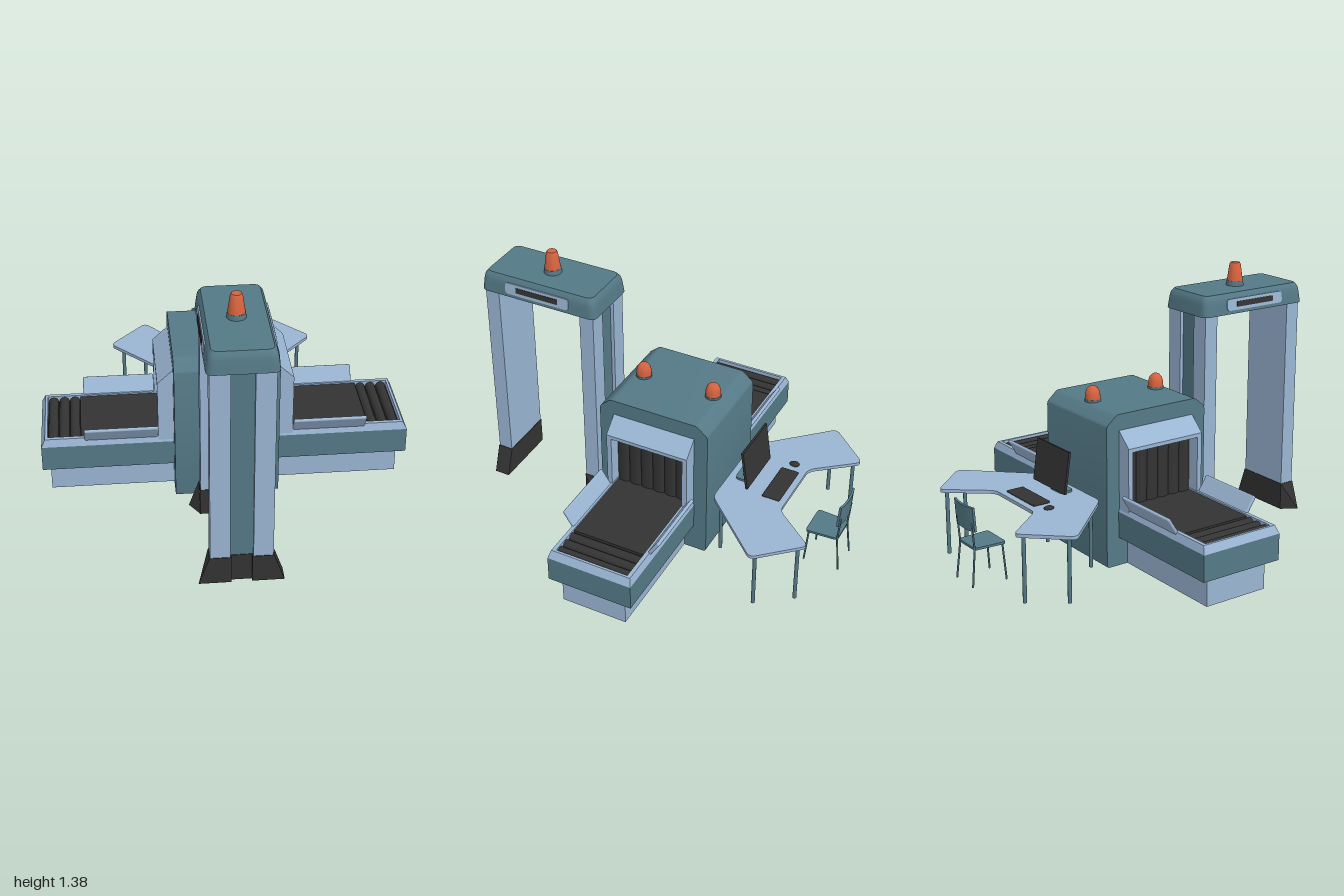
import * as THREE from 'three';
import { toCreasedNormals } from 'three/addons/utils/BufferGeometryUtils.js';
import { RoundedBoxGeometry } from 'three/addons/geometries/RoundedBoxGeometry.js';

const material = (name, color) => Object.assign(new THREE.MeshStandardMaterial({ color }), { name });

// Polygon outline with optionally rounded corners
function outline(points, radius = 0) {
  const shape = new THREE.Shape();
  const p = points.map(([a, b]) => new THREE.Vector2(a, b));
  p.forEach((c, i) => {
    const towards = (q) => c.clone().add(q.clone().sub(c).setLength(radius));
    const a = towards(p[(i + p.length - 1) % p.length]);
    const b = towards(p[(i + 1) % p.length]);
    if (i) shape.lineTo(a.x, a.y); else shape.moveTo(a.x, a.y);
    if (radius) shape.quadraticCurveTo(c.x, c.y, b.x, b.y);
  });
  shape.closePath();
  return shape;
}
const rect = (a0, a1, b0, b1) => [[a0, b0], [a1, b0], [a1, b1], [a0, b1]];

// Centred extrusion: along x the outline is (z, y), along y it is (x, z), along z it is (x, y)
function prism(shape, depth, axis, steps = 1) {
  const g = new THREE.ExtrudeGeometry(shape, { depth, steps, bevelEnabled: false, curveSegments: 6 });
  g.translate(0, 0, -depth / 2);
  if (axis === 'x') g.rotateY(-Math.PI / 2);
  if (axis === 'y') g.rotateX(Math.PI / 2);
  return g;
}

// Move every vertex by a rule
function reshape(g, rule) {
  const pos = g.attributes.position;
  const v = new THREE.Vector3();
  for (let i = 0; i < pos.count; i++) {
    rule(v.fromBufferAttribute(pos, i));
    pos.setXYZ(i, v.x, v.y, v.z);
  }
  g.computeVertexNormals();
  return g;
}

export function createModel() {
  const light = material('pale blue', 0x9ab5d3);
  const teal = material('slate teal', 0x547986);
  const black = material('charcoal', 0x333333);
  const orange = material('signal orange', 0xd4623f);
  const model = new THREE.Group();
  const group = (name) => {
    const g = new THREE.Group();
    g.name = name;
    model.add(g);
    return g;
  };
  const add = (parent, name, geo, mat, x = 0, y = 0, z = 0) => {
    const m = new THREE.Mesh(geo, mat);
    m.name = name;
    m.position.set(x, y, z);
    parent.add(m);
    return m;
  };
  const box = (w, h, d) => new THREE.BoxGeometry(w, h, d);
  const smooth = (g) => toCreasedNormals(g, 0.6);
  const rod = (parent, name, a, b, r, mat) => add(parent, name,
    new THREE.TubeGeometry(new THREE.LineCurve3(new THREE.Vector3(...a), new THREE.Vector3(...b)), 1, r, 8), mat);
  const sides = [-1, 1];

  // Walk-through gate
  const gate = group('gate');
  const gz = 0.668;
  for (const k of sides) {
    const plan = (w, notch, outer, inner, deep) => outline([
      [-w, inner], [w, inner], [w, outer], [notch, outer], [notch, outer - k * deep],
      [-notch, outer - k * deep], [-notch, outer], [-w, outer]]);
    const out = gz + k * 0.312, inn = gz + k * 0.235;
    add(gate, 'gatePost', prism(plan(0.15, 0.055, out, inn, 0.025), 1.16, 'y'), light, 0, 0.58);
    add(gate, 'gatePostStrip', box(0.11, 1.16, 0.008), teal, 0, 0.58, out - k * 0.022);
    // Feet flare at the outer edge
    const foot = reshape(prism(plan(0.153, 0.05, out + k * 0.003, inn - k * 0.003, 0.018), 0.146, 'y'), (v) => {
      const outerEdge = Math.abs(v.z - out) < 0.02;
      if (v.y < 0 && Math.abs(v.x) > 0.1 && (outerEdge || (k > 0 && v.x > 0))) v.x = Math.sign(v.x) * 0.205;
    });
    add(gate, 'gateFoot', foot, black, 0, 0.073);
  }
  const head = reshape(prism(outline(rect(-0.166, 0.166, -0.33, 0.33), 0.04), 0.105, 'y', 6), (v) => {
    const t = v.y / 0.105 + 0.5;
    const inset = 0.012 * t + 0.014 * t ** 8;
    v.x *= 1 - inset / 0.166;
    v.z *= 1 - inset / 0.33;
  });
  add(gate, 'gateHead', smooth(head), teal, 0, 1.208, gz);
  for (const s of sides) {
    const panel = add(gate, 'gatePanel', prism(outline(rect(-0.183, 0.183, -0.03, 0.03), 0.02), 0.009, 'x'),
      light, s * 0.161, 1.203, gz);
    panel.rotation.z = s * 0.114;
    add(panel, 'gateDisplay', box(0.006, 0.028, 0.24), black, s * 0.004);
  }
  const lathe = (pts, n = 24) => smooth(new THREE.LatheGeometry(pts.map(([r, y]) => new THREE.Vector2(r, y)), n).toNonIndexed());
  add(gate, 'gateBeaconBase', new THREE.CylinderGeometry(0.043, 0.046, 0.028, 24), teal, 0, 1.272, gz);
  add(gate, 'gateBeacon', lathe([[0.042, 0], [0.029, 0.088], [0.024, 0.096], [0, 0.096]]), orange, 0, 1.284, gz);

  // Baggage scanner
  const scanner = group('scanner');
  const sz = -0.0375;
  add(scanner, 'scannerHousing', smooth(prism(outline([
    [-0.335, 0], [0.265, 0], [0.265, 0.735], [0.205, 0.787], [-0.275, 0.787], [-0.335, 0.735]], 0.015), 0.53, 'x')), teal);
  for (const z of [-0.235, 0.155]) {
    add(scanner, 'beaconBase', new THREE.CylinderGeometry(0.041, 0.041, 0.012, 24), teal, 0, 0.792, z);
    add(scanner, 'beacon', lathe([[0.039, 0], [0.038, 0.025], [0.032, 0.047], [0.02, 0.061], [0.01, 0.066], [0, 0.067]]),
      orange, 0, 0.798, z);
  }

  // Conveyor on each side of the housing
  for (const s of sides) {
    const conveyor = group(s > 0 ? 'leftConveyor' : 'rightConveyor');
    const cx = s * 0.6;
    add(conveyor, 'conveyorPlinth', box(0.65, 0.15, 0.35), light, s * 0.575, 0.075, sz);
    add(conveyor, 'conveyorBody', box(0.69, 0.135, 0.455), teal, s * 0.595, 0.2175, sz);
    // Sloping rim with a well for the belt
    const rim = outline(rect(-0.34, 0.34, -0.2275, 0.2275));
    rim.holes.push(outline(rect(-0.335, 0.307, -0.195, 0.195)));
    const rimGeo = reshape(prism(rim, 0.04, 'y'), (v) => {
      if (v.y > 0 && v.x > 0.33) v.x -= 0.02;
      if (v.y > 0 && Math.abs(v.z) > 0.2) v.z -= Math.sign(v.z) * 0.012;
    });
    const rimMesh = add(conveyor, 'conveyorRim', rimGeo, light, cx, 0.305, sz);
    if (s < 0) rimMesh.rotation.y = Math.PI;
    add(conveyor, 'beltBed', box(0.645, 0.01, 0.39), black, s * 0.585, 0.289, sz);
    add(conveyor, 'belt', box(0.475, 0.03, 0.39), black, s * 0.5, 0.302, sz);
    for (let i = 0; i < 3; i++) {
      const roller = add(conveyor, 'roller', new THREE.CylinderGeometry(0.026, 0.026, 0.388, 16), black,
        s * (0.766 + i * 0.056), 0.293, sz);
      roller.rotation.x = Math.PI / 2;
    }
    // Splayed baggage guards
    for (const k of sides) {
      const guard = add(conveyor, 'baggageGuard', new RoundedBoxGeometry(0.375, 0.112, 0.018, 3, 0.008), light,
        s * 0.5325, 0.35, sz + k * 0.2325);
      guard.rotation.x = k * 0.563;
    }
    // Tunnel mouth: two cheeks, a sloping roof and a strip curtain
    const cheek = outline([[s * 0.26, 0.29], [s * 0.345, 0.29], [s * 0.345, 0.63], [s * 0.26, 0.71]]);
    const roof = outline([[s * 0.26, 0.61], [s * 0.345, 0.61], [s * 0.345, 0.63], [s * 0.26, 0.71]]);
    for (const k of sides) add(conveyor, 'tunnelCheek', prism(cheek, 0.026, 'z'), light, 0, 0, sz + k * 0.211);
    add(conveyor, 'tunnelRoof', prism(roof, 0.4, 'z'), light, 0, 0, sz);
    add(conveyor, 'curtainBacking', box(0.01, 0.32, 0.4), black, s * 0.27, 0.455, sz);
    for (let i = 0; i < 6; i++) {
      const strip = add(conveyor, 'curtainStrip', new THREE.CylinderGeometry(0.034, 0.034, 0.31, 12), black,
        s * 0.275, 0.455, sz + (i - 2.5) * 0.066);
      strip.scale.x = 0.45;
    }
  }

  // Operator desk
  const desk = group('desk');
  const half = [[0.235, -0.357], [0.56, -0.705], [0.36, -0.925], [0.18, -0.7]];
  const top = [...half, ...half.map(([x, z]) => [-x, z]).reverse()];
  add(desk, 'deskTop', smooth(prism(outline(top, 0.035), 0.018, 'y')), light, 0, 0.348);
  for (const s of sides) {
    for (const [x, z] of [[0.2, -0.388], [0.49, -0.705], [0.365, -0.875]]) {
      add(desk, 'deskLeg', new THREE.CylinderGeometry(0.01, 0.01, 0.342, 10), teal, s * x, 0.171, z);
    }
  }

  // Monitor, keyboard and mouse
  const monitor = group('monitor');
  const screen = add(monitor, 'screen', box(0.285, 0.215, 0.012), black, 0, 0.493, -0.482);
  screen.rotation.x = 0.14;
  const shell = reshape(box(0.27, 0.2, 0.045).toNonIndexed(), (v) => {
    if (v.z > 0) { v.x *= 0.45; v.y *= 0.45; }
  });
  add(screen, 'screenBack', shell, teal, 0, 0, 0.028);
  add(monitor, 'monitorStand', box(0.045, 0.125, 0.015), teal, 0, 0.43, -0.432);
  add(monitor, 'monitorFoot', smooth(prism(outline(rect(-0.06, 0.06, -0.465, -0.395), 0.025), 0.012, 'y')), teal, 0, 0.363);
  add(desk, 'keyboard', new RoundedBoxGeometry(0.25, 0.012, 0.095, 2, 0.005), black, 0, 0.363, -0.622);
  const mouse = add(desk, 'mouse', new THREE.SphereGeometry(0.02, 16, 10), black, -0.185, 0.36, -0.62);
  mouse.scale.set(1, 0.6, 1.35);

  // Chair
  const chair = group('chair');
  const seat = outline([[-0.088, -0.805], [0.088, -0.805], [0.078, -0.975], [-0.078, -0.975]], 0.02);
  add(chair, 'chairSeat', smooth(prism(seat, 0.012, 'y')), teal, 0, 0.194);
  for (const s of sides) {
    rod(chair, 'chairFrontLeg', [s * 0.082, 0, -0.805], [s * 0.075, 0.19, -0.82], 0.005, teal);
    rod(chair, 'chairBackLeg', [s * 0.078, 0, -0.99], [s * 0.07, 0.19, -0.97], 0.005, teal);
    rod(chair, 'chairBackPost', [s * 0.07, 0.19, -0.97], [s * 0.07, 0.33, -0.982], 0.005, teal);
  }
  // Backrest curves forward at its ends
  const rest = new THREE.BoxGeometry(0.175, 0.125, 0.012, 10, 1, 1);
  reshape(rest, (v) => { v.z += 1.6 * v.x * v.x; });
  const backrest = add(chair, 'chairBackrest', rest, teal, 0, 0.347, -0.987);
  backrest.rotation.x = -0.07;

  return model;
}
